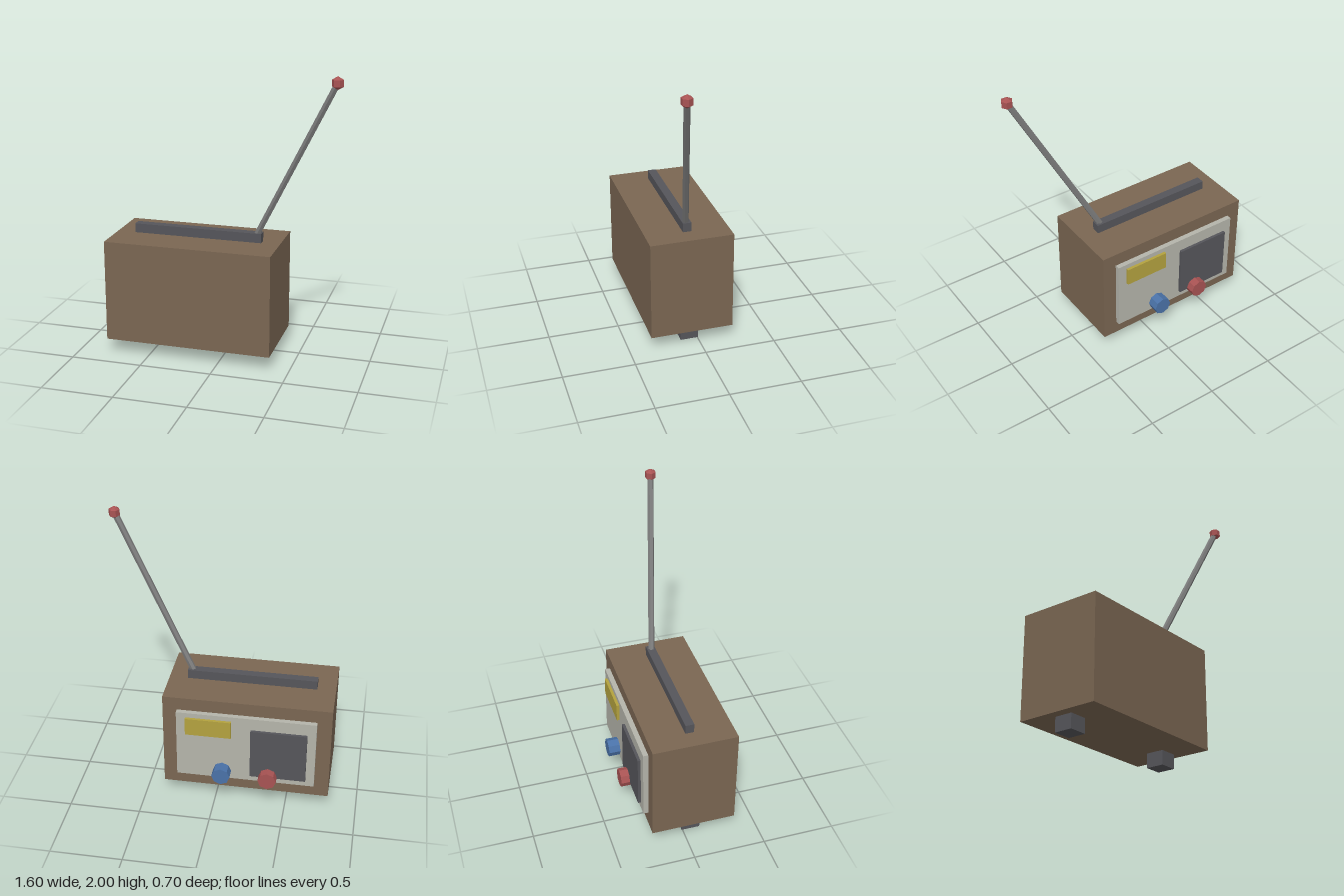
import * as THREE from 'three';

const mat = (color) => new THREE.MeshStandardMaterial({ color, flatShading: true });

export function createModel() {
  const group = new THREE.Group();
  const brown = mat(0x7a6652), dark = mat(0x55555a), pale = mat(0xb4b4aa);
  const yellow = mat(0xb3a23f), red = mat(0xa85353), blue = mat(0x4a72a8), steel = mat(0x7c7c7c);

  const add = (name, geometry, material) => {
    const mesh = new THREE.Mesh(geometry, material);
    mesh.name = name;
    group.add(mesh);
    return mesh;
  };
  // Box given by its extents on each axis
  const box = (name, material, [x0, x1], [y0, y1], [z0, z1]) =>
    add(name, new THREE.BoxGeometry(x1 - x0, y1 - y0, z1 - z0), material)
      .position.set((x0 + x1) / 2, (y0 + y1) / 2, (z0 + z1) / 2);

  // Case, carrying bar and feet
  box('case', brown, [-0.8, 0.37], [0.1, 0.815], [-0.235, 0.35]);
  box('topBar', dark, [-0.67, 0.24], [0.815, 0.88], [0.026, 0.086]);
  box('rightFoot', dark, [-0.735, -0.608], [0, 0.1], [-0.006, 0.122]);
  box('leftFoot', dark, [0.175, 0.302], [0, 0.1], [-0.006, 0.122]);

  // Control panel with speaker and dial window
  box('panel', pale, [-0.7, 0.27], [0.2, 0.72], [-0.27, -0.235]);
  box('speaker', dark, [-0.64, -0.25], [0.25, 0.63], [-0.29, -0.27]);
  box('dialWindow', yellow, [-0.115, 0.205], [0.555, 0.685], [-0.29, -0.27]);

  // Octagonal knobs
  for (const [name, x, material] of [['blueKnob', -0.053, blue], ['redKnob', -0.378, red]]) {
    const knob = add(name, new THREE.CylinderGeometry(0.064, 0.064, 0.085, 8), material);
    knob.rotation.x = Math.PI / 2;
    knob.position.set(x, 0.264, -0.308);
  }

  // Slanted antenna with a faceted tip
  const foot = new THREE.Vector3(0.195, 0.85, 0.055);
  const end = new THREE.Vector3(0.76, 1.956, 0.217);
  const dir = end.clone().sub(foot);
  const rod = add('antenna', new THREE.CylinderGeometry(0.022, 0.022, dir.length(), 6), steel);
  rod.position.copy(foot).add(end).multiplyScalar(0.5);
  rod.quaternion.setFromUnitVectors(new THREE.Vector3(0, 1, 0), dir.normalize());
  add('antennaTip', new THREE.SphereGeometry(0.044, 6, 3), red).position.copy(end);

  return group;
}
